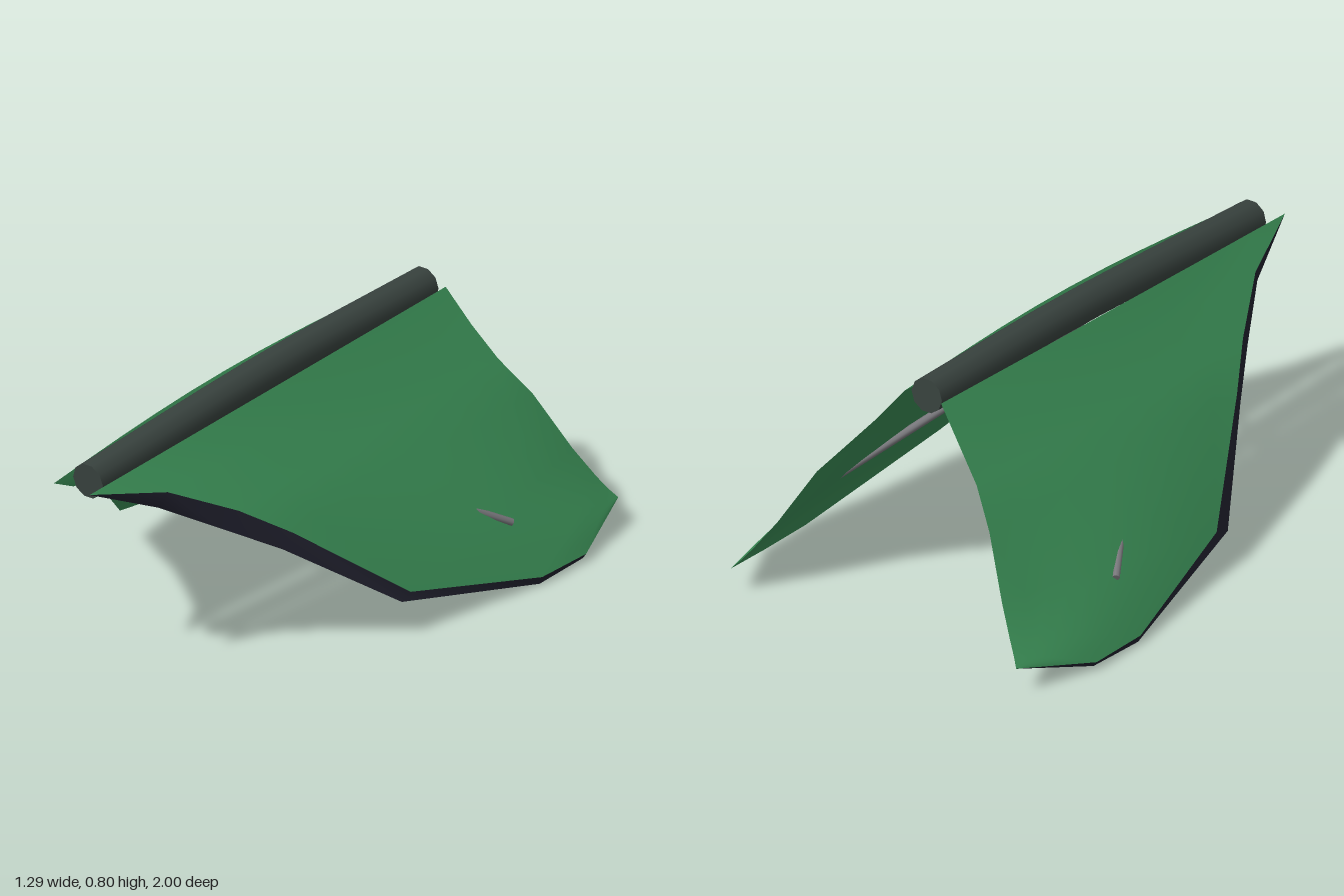
import * as THREE from 'three';

const mat = (name, color, side = THREE.FrontSide) => {
  const m = new THREE.MeshStandardMaterial({ color, side });
  m.name = name;
  return m;
};
const V = (p) => new THREE.Vector3(...p);

// Wing outline from root to tip: upper leading edge, lower leading edge, trailing edge
const UPPER = [[.07, .665, 1], [.16, .605, .73], [.27, .5, .52], [.36, .4, .37], [.545, .13, .02], [.645, .025, -.5], [.642, .025, -.72], [.545, .09, -1]].map(V);
const LOWER = [[.065, .625, .91], [.145, .56, .76], [.25, .45, .57], [.35, .35, .4], [.55, .115, .07], [.635, 0, -.5], [.63, .008, -.72], [.545, .09, -1]].map(V);
const TRAIL = [[.07, .75, -.75], [.155, .64, -.77], [.24, .54, -.795], [.33, .43, -.85], [.43, .25, -.92], [.49, .16, -.96], [.52, .12, -.98], [.545, .09, -1]].map(V);
const UP_BULGE = [.035, .018, .012, .012, .035, .02, .008, 0];
const LOW_BULGE = [0, .01, .01, .01, .03, .02, .008, 0];
const CHORD = 10;

// One chord line from the leading to the trailing edge, bowed outward
function chordLine(lead, trail, bulge) {
  return Array.from({ length: CHORD + 1 }, (_, j) => {
    const s = j / CHORD;
    const b = bulge * Math.sin(Math.PI * s);
    return lead.clone().lerp(trail, s).add(new THREE.Vector3(.79 * b, .61 * b, 0));
  });
}

// Surface through rows of points, mirrored for side = -1
function loft(rows, side, flip = false) {
  const n = rows[0].length;
  const pos = [];
  const idx = [];
  rows.forEach((r) => r.forEach((p) => pos.push(p.x * side, p.y, p.z)));
  for (let i = 0; i < rows.length - 1; i++) {
    for (let j = 0; j < n - 1; j++) {
      const a = i * n + j, b = a + 1, c = a + n, d = c + 1;
      if ((side < 0) !== flip) idx.push(a, b, c, b, d, c);
      else idx.push(a, c, b, b, c, d);
    }
  }
  const g = new THREE.BufferGeometry();
  g.setAttribute('position', new THREE.Float32BufferAttribute(pos, 3));
  g.setIndex(idx);
  g.computeVertexNormals();
  return g;
}

export function createModel() {
  const model = new THREE.Group();
  model.name = 'foldedWings';
  const green = mat('wing green', 0x3a8c55, THREE.DoubleSide);
  const navy = mat('edge navy', 0x20202d, THREE.DoubleSide);
  const spineMat = mat('spine grey green', 0x38423e);
  const steel = mat('strut grey', 0x78777b);

  const add = (parent, name, geometry, material) => {
    const m = new THREE.Mesh(geometry, material);
    m.name = name;
    parent.add(m);
    return m;
  };

  // Central spine, gently bent, with closed ends
  const spine = new THREE.Group();
  spine.name = 'spine';
  model.add(spine);
  const path = new THREE.CatmullRomCurve3([[0, .664, .92], [0, .73, 0], [0, .747, -.73]].map(V));
  add(spine, 'spineTube', new THREE.TubeGeometry(path, 8, .058, 10), spineMat);
  [0, 1].forEach((t) => {
    const cap = add(spine, t ? 'spineRearCap' : 'spineFrontCap', new THREE.CircleGeometry(.058, 10), spineMat);
    const p = path.getPointAt(t);
    cap.position.copy(p);
    cap.lookAt(p.clone().addScaledVector(path.getTangentAt(t), t ? 1 : -1));
  });

  const upperRows = UPPER.map((p, i) => chordLine(p, TRAIL[i], UP_BULGE[i]));
  const lowerRows = LOWER.map((p, i) => chordLine(p, TRAIL[i], LOW_BULGE[i]));

  for (const side of [1, -1]) {
    const wing = new THREE.Group();
    wing.name = side > 0 ? 'leftWing' : 'rightWing';
    model.add(wing);

    // Wing skins, root wall and dark leading edge
    add(wing, 'upperSkin', loft(upperRows, side, true), green);
    add(wing, 'lowerSkin', loft(lowerRows, side), green);
    add(wing, 'rootWall', loft([lowerRows[0], upperRows[0]], side, true), green);
    add(wing, 'leadingEdge', loft([LOWER, UPPER], side), navy);

    // Tapered strut from the spine through the wing
    const a = new THREE.Vector3(.05 * side, .63, .33);
    const b = new THREE.Vector3(.54 * side, .185, -.485);
    const strut = add(wing, 'strut', new THREE.CylinderGeometry(.012, .016, a.distanceTo(b), 8), steel);
    strut.position.copy(a).add(b).multiplyScalar(.5);
    strut.quaternion.setFromUnitVectors(new THREE.Vector3(0, 1, 0), b.clone().sub(a).normalize());
  }
  return model;
}
